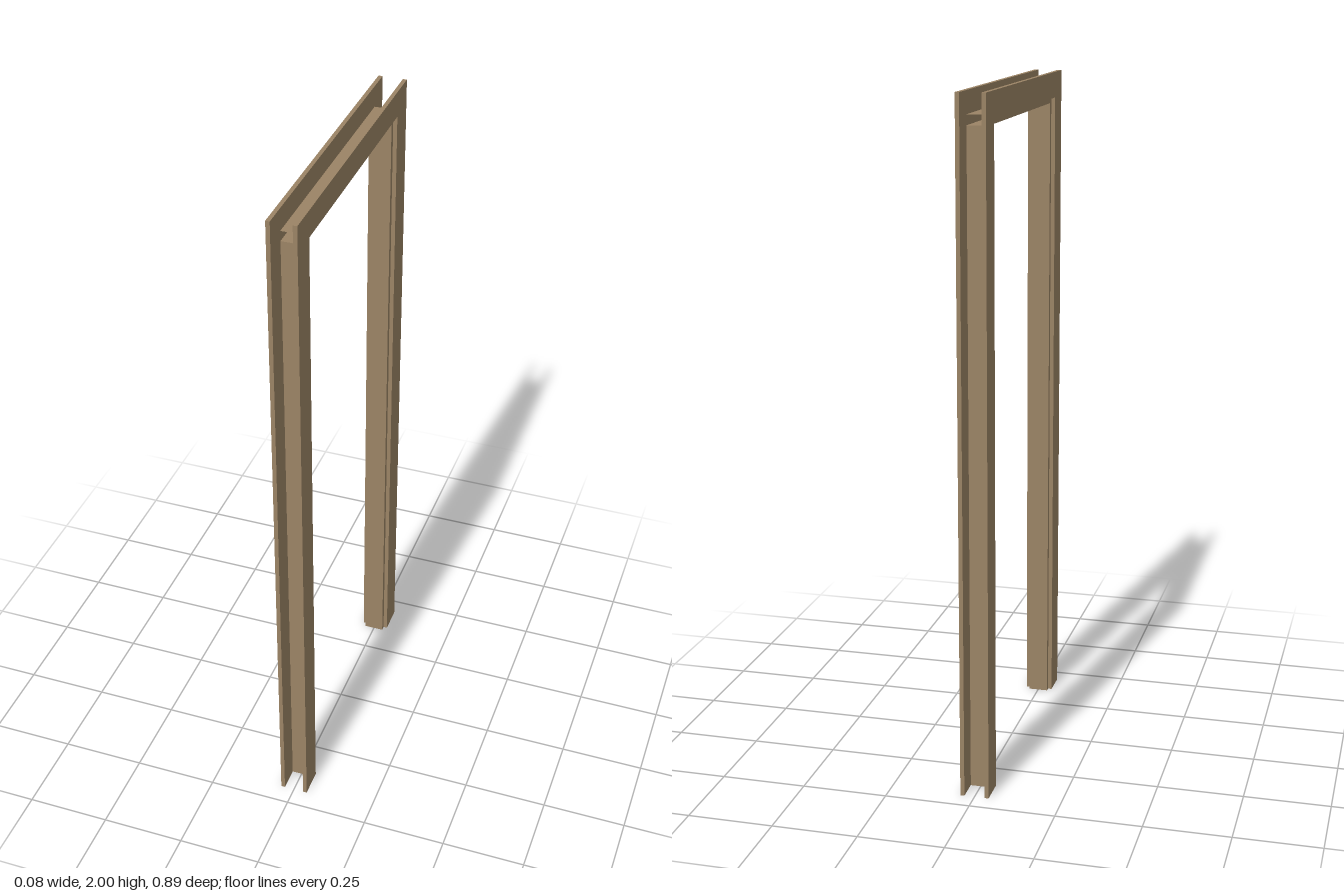
import * as THREE from 'three';

const wood = new THREE.MeshStandardMaterial({ color: 0x9b8465, side: THREE.DoubleSide });

const OUTER = 0.443;      // half width over the trim
const REVEAL = 0.36;      // half width of the trim opening
const JAMB_IN = 0.345;    // half width of the clear opening
const JAMB_OUT = 0.374;
const HEAD = 1.908;       // clear height
const WALL = 0.03;        // half depth of the lining
const TRIM = 0.012;

// Box without the two faces across one axis (0 = x, 1 = y, 2 = z)
function openBox(w, h, d, axis) {
  const geo = new THREE.BoxGeometry(w, h, d);
  const index = Array.from(geo.index.array);
  index.splice(axis * 12, 12);
  geo.setIndex(index);
  geo.clearGroups();
  return geo;
}

export function createModel() {
  const group = new THREE.Group();
  group.name = 'doorFrame';
  const add = (name, geo, x, y, z) => {
    const mesh = new THREE.Mesh(geo, wood);
    mesh.name = name;
    mesh.position.set(x, y, z);
    group.add(mesh);
    return mesh;
  };

  // Flat trim: an upside-down U, one on each face of the wall
  const outline = new THREE.Shape([
    [-OUTER, 0], [-REVEAL, 0], [-REVEAL, 1.924], [REVEAL, 1.924],
    [REVEAL, 0], [OUTER, 0], [OUTER, 2], [-OUTER, 2],
  ].map(([x, y]) => new THREE.Vector2(x, y)));
  const trim = new THREE.ExtrudeGeometry(outline, { depth: TRIM, bevelEnabled: false });
  trim.rotateY(Math.PI / 2);
  add('leftTrim', trim, WALL, 0, 0);
  add('rightTrim', trim, -WALL - TRIM, 0, 0);

  // Side jambs: hollow boards running up to the head
  const thick = JAMB_OUT - JAMB_IN;
  for (const s of [1, -1]) {
    add(s > 0 ? 'frontJamb' : 'backJamb', openBox(WALL * 2, HEAD, thick, 1),
      0, HEAD / 2, s * (JAMB_IN + JAMB_OUT) / 2);
  }

  // Head jamb: hollow board resting on the side jambs
  add('headJamb', openBox(WALL * 2, thick, JAMB_OUT * 2, 2), 0, HEAD + thick / 2, 0);

  return group;
}
